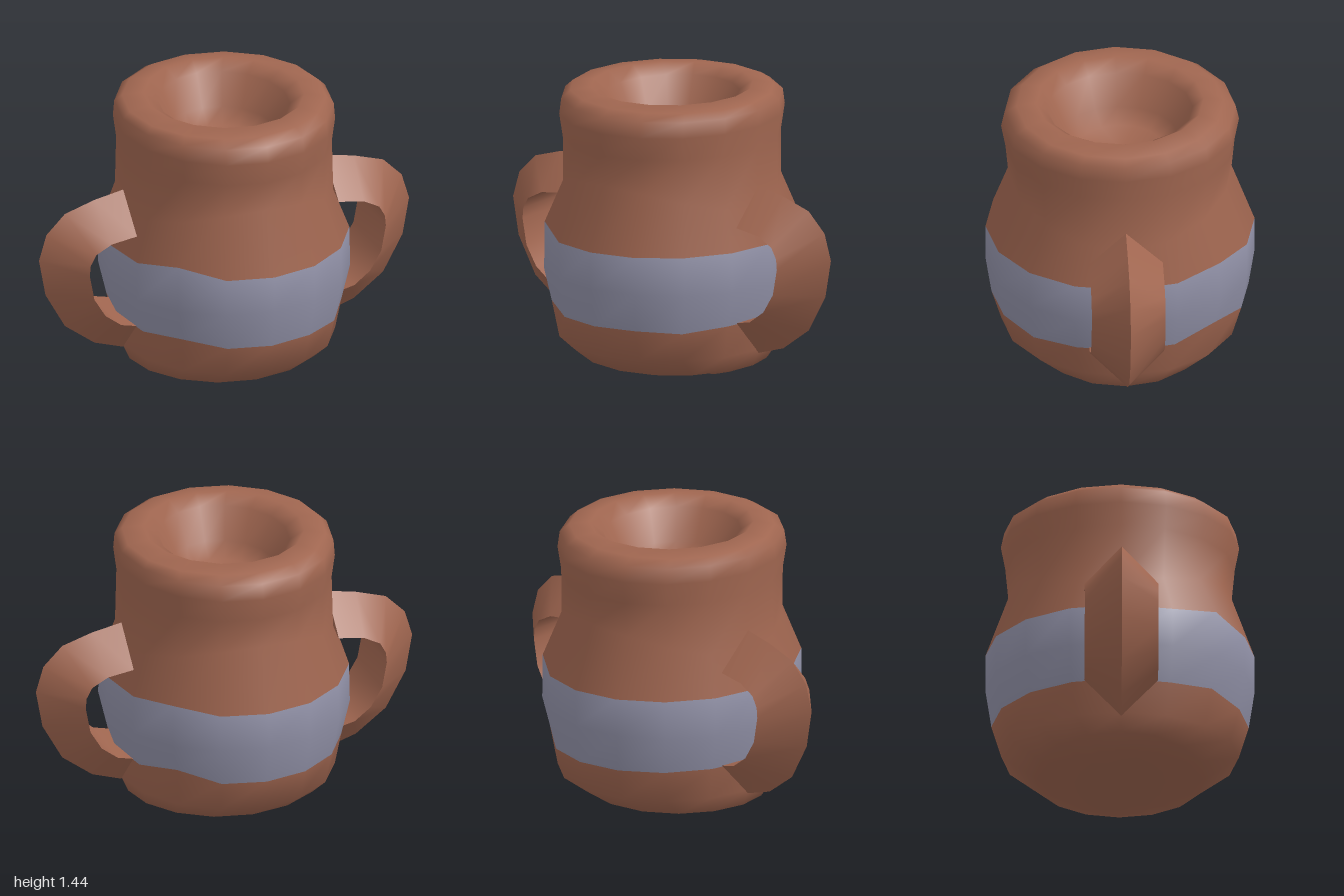
import * as THREE from 'three';
import { toCreasedNormals } from 'three/addons/utils/BufferGeometryUtils.js';

const SIDES = 16;

// Oval rings from base to bowl floor: [x radius, z radius, y at the sides, y at front and back]
const RINGS = [
  [0, 0, 0, 0],
  [0.36, 0.2, 0, 0.012],
  [0.51, 0.43, 0.06, 0.04],
  [0.55, 0.595, 0.15, 0.155],
  [0.58, 0.645, 0.32, 0.32],
  [0.625, 0.675, 0.5, 0.52],
  [0.62, 0.675, 0.71, 0.71],
  [0.545, 0.56, 0.89, 1.03],
  [0.535, 0.575, 1.19, 1.19],
  [0.55, 0.597, 1.31, 1.31],
  [0.545, 0.58, 1.39, 1.39],
  [0.51, 0.52, 1.425, 1.425],
  [0.4, 0.42, 1.44, 1.44],
  [0.325, 0.365, 1.39, 1.39],
  [0.26, 0.29, 1.23, 1.23],
  [0.2, 0.22, 1.16, 1.16],
  [0, 0, 1.15, 1.15],
];
const BAND_LOW = 4, BAND_HIGH = 6;

// Hand-made unevenness of the band edges: ring -> { side index: y shift }
const WOBBLE = {
  [BAND_LOW]: { 2: -0.015, 6: 0.045, 14: 0.025 },
  [BAND_HIGH]: { 6: 0.025, 14: 0.045 },
};

// One smooth surface; the band rows form their own material group
function potGeometry() {
  const pos = [], index = [];
  RINGS.forEach(([rx, rz, ySide, yFront], r) => {
    for (let i = 0; i < SIDES; i++) {
      const t = (i / SIDES) * Math.PI * 2;
      const y = THREE.MathUtils.lerp(ySide, yFront, Math.cos(t) ** 2);
      pos.push(rx * Math.sin(t), y + (WOBBLE[r]?.[i] ?? 0), rz * Math.cos(t));
    }
  });
  const rows = RINGS.length - 1;
  for (let r = 0; r < rows; r++) {
    for (let i = 0; i < SIDES; i++) {
      const a = r * SIDES + i, b = r * SIDES + ((i + 1) % SIDES);
      const c = b + SIDES, d = a + SIDES;
      if (r > 0) index.push(a, b, c);
      if (r < rows - 1) index.push(a, c, d);
    }
  }
  const geo = new THREE.BufferGeometry();
  geo.setAttribute('position', new THREE.Float32BufferAttribute(pos, 3));
  geo.setIndex(index);
  geo.computeVertexNormals();
  const start = SIDES * 3 + (BAND_LOW - 1) * SIDES * 6;
  const count = (BAND_HIGH - BAND_LOW) * SIDES * 6;
  geo.addGroup(0, start, 0);
  geo.addGroup(start, count, 1);
  geo.addGroup(start + count, index.length - start - count, 0);
  return geo;
}

// Handle sections, top to bottom: [ridge x, ridge y, inner x, inner y]
const HANDLE = [
  [0.545, 1.0, 0.545, 0.82],
  [0.7, 0.97, 0.68, 0.8],
  [0.86, 0.92, 0.765, 0.755],
  [0.96, 0.82, 0.795, 0.7],
  [1.0, 0.685, 0.8, 0.645],
  [0.965, 0.49, 0.775, 0.51],
  [0.86, 0.3, 0.715, 0.41],
  [0.7, 0.18, 0.63, 0.345],
  [0.545, 0.13, 0.545, 0.325],
];

// Triangular section: a sharp ridge outside, a flat face inside
function handleGeometry() {
  const w = 0.185, pos = [], index = [];
  for (const [ox, oy, ix, iy] of HANDLE) pos.push(ox, oy, 0, ix, iy, w, ix, iy, -w);
  for (let s = 0; s < HANDLE.length - 1; s++) {
    for (let k = 0; k < 3; k++) {
      const a = s * 3 + k, b = s * 3 + ((k + 1) % 3);
      index.push(a, b, b + 3, a, b + 3, a + 3);
    }
  }
  // End caps
  const e = (HANDLE.length - 1) * 3;
  index.push(0, 2, 1, e, e + 1, e + 2);
  const geo = new THREE.BufferGeometry();
  geo.setAttribute('position', new THREE.Float32BufferAttribute(pos, 3));
  geo.setIndex(index);
  return toCreasedNormals(geo, 0.75);
}

export function createModel() {
  const clay = new THREE.MeshStandardMaterial({ color: 0xa06650 });
  clay.name = 'clay';
  const glaze = new THREE.MeshStandardMaterial({ color: 0x9090a6 });
  glaze.name = 'greyGlaze';

  const group = new THREE.Group();
  group.name = 'pot';

  const body = new THREE.Mesh(potGeometry(), [clay, glaze]);
  body.name = 'body';
  group.add(body);

  // Pair of handles, the right one turned half round
  const handle = handleGeometry();
  ['leftHandle', 'rightHandle'].forEach((name, i) => {
    const mesh = new THREE.Mesh(handle, clay);
    mesh.name = name;
    mesh.rotation.y = i * Math.PI;
    group.add(mesh);
  });
  return group;
}
